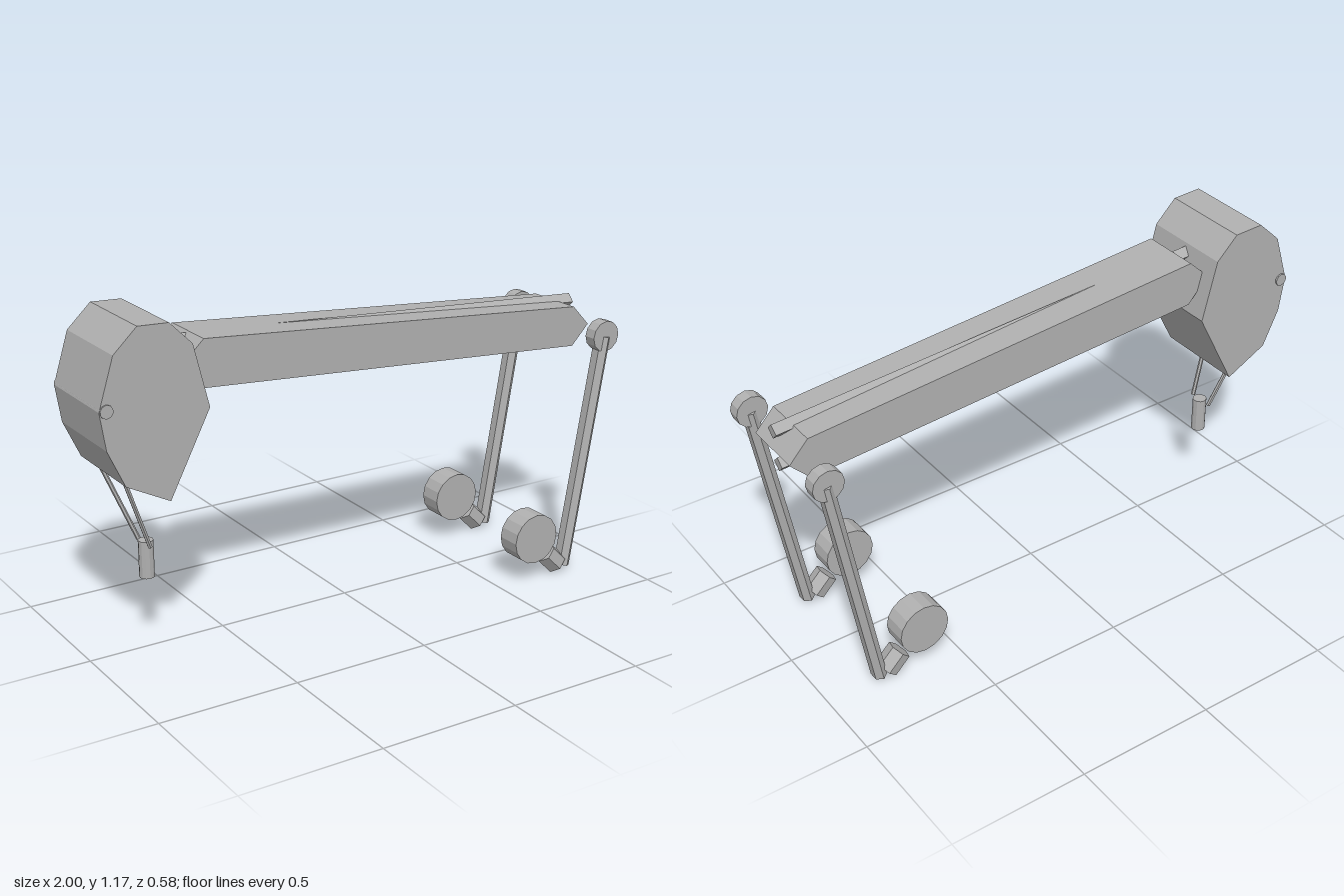
import * as THREE from 'three';

export function createModel() {
  const model = new THREE.Group();
  const grey = new THREE.MeshStandardMaterial({ color: 0xb0b0b0, flatShading: true });
  grey.name = 'plain grey';

  function add(name, geometry, parent = model) {
    const mesh = new THREE.Mesh(geometry, grey);
    mesh.name = name;
    parent.add(mesh);
    return mesh;
  }

  // side profile in x and y, extruded evenly about z = 0
  function slab(name, points, width) {
    const shape = new THREE.Shape(points.map(([x, y]) => new THREE.Vector2(x, y)));
    const geometry = new THREE.ExtrudeGeometry(shape, { depth: width, bevelEnabled: false });
    return add(name, geometry.translate(0, 0, -width / 2));
  }

  // prism running between two points
  function rod(name, from, to, radius, sides, parent = model, twist = 0) {
    const a = new THREE.Vector3(...from);
    const b = new THREE.Vector3(...to);
    const dir = b.clone().sub(a);
    const geometry = new THREE.CylinderGeometry(radius, radius, dir.length(), sides, 1, false, twist);
    const mesh = add(name, geometry, parent);
    mesh.quaternion.setFromUnitVectors(new THREE.Vector3(0, 1, 0), dir.normalize());
    mesh.position.copy(a).add(b).multiplyScalar(0.5);
    return mesh;
  }

  // faceted head with a pivot rod along its rear edge
  slab('head', [
    [-0.86, 1.185], [-0.75, 1.18], [-0.67, 1.1], [-0.615, 0.88], [-0.765, 0.59],
    [-0.92, 0.67], [-0.98, 0.8], [-1, 0.93], [-0.945, 1.105],
  ], 0.338);
  rod('headPivot', [-0.976, 0.93, -0.175], [-0.976, 0.93, 0.175], 0.023, 10);

  // long sloping beam with wedge-shaped ends
  slab('beam', [
    [-0.6, 1.09], [-0.68, 1.015], [-0.6, 0.925], [0.92, 0.822], [0.99, 0.895], [0.92, 0.97],
  ], 0.22);

  // diamond rails sunk into the top and bottom of the beam
  rod('topRail', [-0.675, 1.062, 0], [0.985, 0.96, 0], 0.027, 4);
  rod('bottomRail', [-0.66, 0.932, 0], [0.975, 0.83, 0], 0.027, 4);

  // hanging handle on two struts
  rod('handle', [-0.78, 0.268, 0], [-0.78, 0.4, 0], 0.026, 12);

  for (const side of [1, -1]) {
    rod('strut', [-0.89, 0.66, side * 0.09], [-0.785, 0.39, side * 0.044], 0.008, 6);

    // leg with hip joint, foot and wheel
    const leg = new THREE.Group();
    leg.name = side > 0 ? 'leftLeg' : 'rightLeg';
    leg.position.z = side * 0.246;
    model.add(leg);
    rod('hipJoint', [0.942, 0.893, -0.023], [0.942, 0.893, 0.023], 0.057, 12, leg);
    const shin = rod('shin', [0.945, 0.89, 0], [0.8, 0.033, 0], 0.034, 6, leg);
    shin.scale.x = 0.75;
    rod('foot', [0.772, 0.042, 0], [0.716, 0.098, 0], 0.042, 6, leg, Math.PI / 6 + 0.2);
    rod('wheel', [0.64, 0.18, -0.045], [0.64, 0.18, 0.045], 0.093, 16, leg);
  }

  return model;
}
